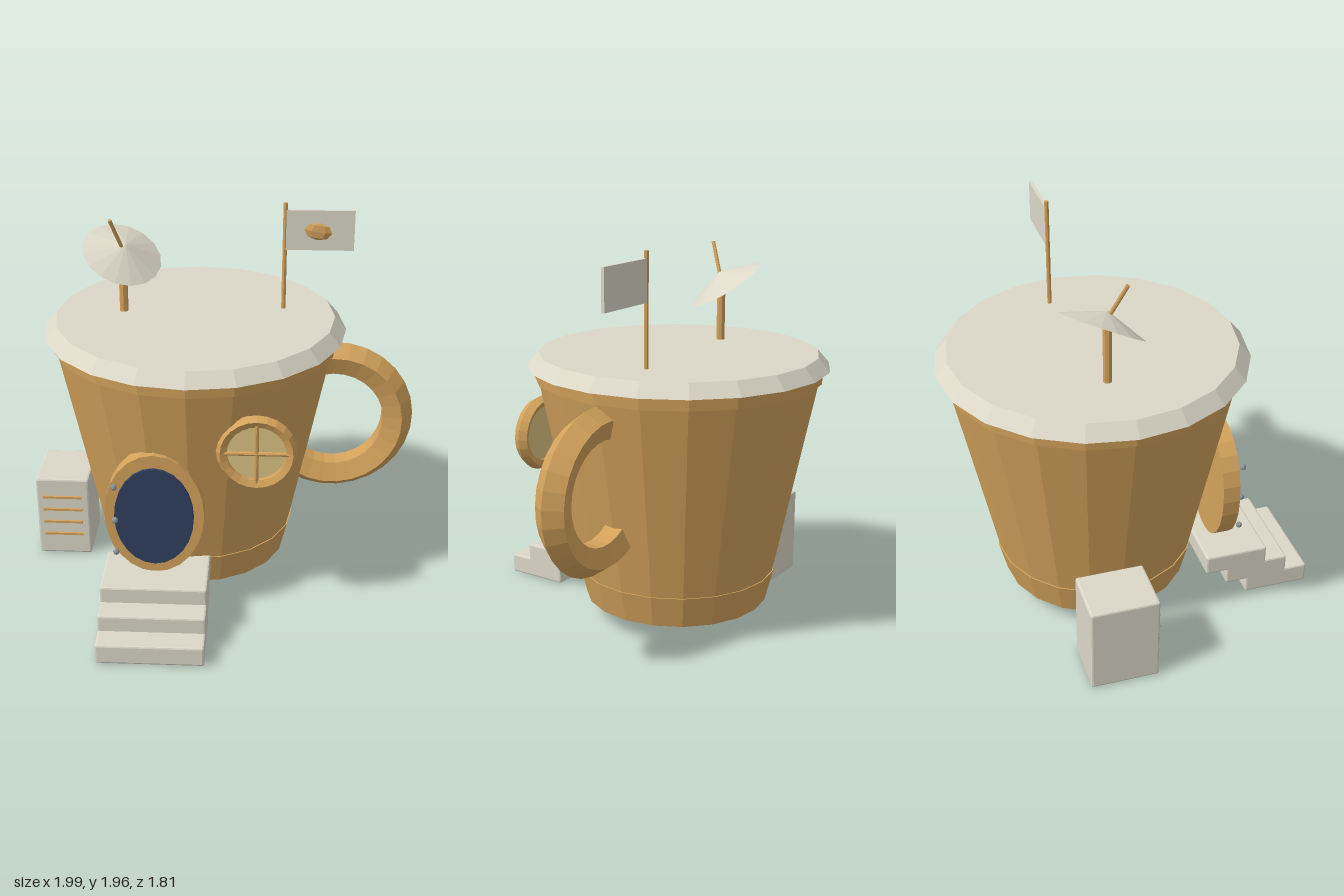
import * as THREE from 'three';
import { RoundedBoxGeometry } from 'three/addons/geometries/RoundedBoxGeometry.js';

const mat = (name, color) => {
  const m = new THREE.MeshStandardMaterial({ color, flatShading: true });
  m.name = name;
  return m;
};

export function createModel() {
  const gold = mat('gold', 0xd4a35c);
  const cream = mat('cream', 0xdcd8c8);
  const navy = mat('navy', 0x303f60);
  const glass = mat('pale yellow glass', 0xdcc484);
  const steel = mat('steel grey', 0x8a9498);

  const root = new THREE.Group();
  root.name = 'cupHouse';
  const CX = -0.135, CZ = -0.14, SIDES = 20;

  const add = (name, geo, material, x = 0, y = 0, z = 0, parent = root) => {
    const m = new THREE.Mesh(geo, material);
    m.name = name;
    m.position.set(x, y, z);
    parent.add(m);
    return m;
  };
  // Tapered round section of the cup between two heights
  const ring = (name, y0, y1, r0, r1, material) =>
    add(name, new THREE.CylinderGeometry(r1, r0, y1 - y0, SIDES), material, CX, (y0 + y1) / 2, CZ);
  // Box given by its minimum and maximum corners
  const block = (name, a, b, material, bevel = 0.01, parent = root) => {
    const s = a.map((v, i) => b[i] - v), c = a.map((v, i) => (v + b[i]) / 2);
    const geo = bevel ? new RoundedBoxGeometry(...s, 1, bevel) : new THREE.BoxGeometry(...s);
    return add(name, geo, material, ...c, parent);
  };
  // Thin round rod between two points
  const rod = (name, a, b, r, material, parent = root) => {
    const p = new THREE.Vector3(...a), d = new THREE.Vector3(...b).sub(p);
    const m = add(name, new THREE.CylinderGeometry(r, r, d.length(), 8), material, 0, 0, 0, parent);
    m.position.copy(p).addScaledVector(d, 0.5);
    m.quaternion.setFromUnitVectors(new THREE.Vector3(0, 1, 0), d.normalize());
    return m;
  };
  // Elliptical plate facing the front
  const plate = (name, rx, ry, z0, z1, material, x, y, parent = root) => {
    const geo = new THREE.CylinderGeometry(1, 1, z1 - z0, 24).rotateX(Math.PI / 2).scale(rx, ry, 1);
    return add(name, geo, material, x, y, (z0 + z1) / 2, parent);
  };
  const group = (name) => {
    const g = new THREE.Group();
    g.name = name;
    root.add(g);
    return g;
  };

  // Cup body, rim band and lid
  ring('cupBase', 0.1, 0.265, 0.475, 0.515, gold);
  ring('cupBody', 0.26, 1.3, 0.508, 0.717, gold);
  ring('rimBand', 1.27, 1.336, 0.727, 0.733, gold);
  ring('lid', 1.333, 1.4, 0.765, 0.707, cream);

  // Handle with a five-sided section, its ends sunk in the wall
  const handleGeo = new THREE.TorusGeometry(0.329, 0.086, 5, 20, Math.PI * 1.4);
  handleGeo.rotateZ(-Math.PI * 0.75);
  add('handle', handleGeo, gold, 0.58, 0.845, CZ);

  // Oval door with frame and hinge knobs
  const door = group('door');
  plate('doorFrame', 0.245, 0.328, 0.42, 0.508, gold, -0.3, 0.6, door);
  plate('doorPanel', 0.195, 0.266, 0.505, 0.525, navy, -0.3, 0.595, door);
  for (const y of [0.4, 0.58, 0.765])
    add('hingeKnob', new THREE.SphereGeometry(0.016, 8, 6), steel, -0.49, y, 0.535, door);

  // Round window with crossed bars
  const win = group('window');
  const frameGeo = new THREE.TorusGeometry(0.166, 0.029, 5, 24).scale(1, 1, 1.4);
  add('windowFrame', frameGeo, gold, 0.195, 0.95, 0.485, win);
  plate('windowPane', 0.165, 0.165, 0.479, 0.488, glass, 0.195, 0.95, win);
  rod('windowBar', [0.195, 0.785, 0.505], [0.195, 1.115, 0.505], 0.011, gold, win);
  rod('windowBar', [0.03, 0.95, 0.505], [0.36, 0.95, 0.505], 0.011, gold, win);

  // Three steps up to the door
  const stairs = group('stairs');
  for (let i = 0; i < 3; i++)
    block('step', [-0.562, i * 0.085, 0.565 - i * 0.112],
      [-0.035, 0.105 + i * 0.085, 0.905 - i * 0.118], cream, 0.01, stairs);

  // Utility box with front slats
  const unit = group('utilityBox');
  block('boxCase', [-1, 0, -0.397], [-0.715, 0.46, -0.057], cream, 0.01, unit);
  for (let i = 0; i < 4; i++)
    block('slat', [-0.965, 0.12 + i * 0.076, -0.065], [-0.755, 0.132 + i * 0.076, -0.045], gold, 0, unit);

  // Tilted dish on a post
  const dish = group('dish');
  rod('dishPost', [-0.5, 1.39, -0.17], [-0.5, 1.71, -0.17], 0.022, gold, dish);
  const normal = new THREE.Vector3(0.38, 1, 0.5).normalize();
  const bowl = add('dishCone', new THREE.ConeGeometry(0.205, 0.075, 16), cream, -0.505, 1.69, -0.195, dish);
  bowl.quaternion.setFromUnitVectors(new THREE.Vector3(0, 1, 0), normal);
  bowl.position.addScaledVector(normal, 0.0375);
  rod('dishAntenna', [-0.5, 1.74, -0.16], [-0.547, 1.9, -0.09], 0.01, gold, dish);

  // Flag on a pole with a small faceted bean
  const flag = group('flag');
  rod('flagPole', [0.31, 1.39, -0.242], [0.31, 1.955, -0.242], 0.011, gold, flag);
  block('flagCloth', [0.315, 1.715, -0.25], [0.655, 1.92, -0.233], cream, 0, flag);
  const bean = add('flagBean', new THREE.SphereGeometry(1, 6, 4), gold, 0.475, 1.815, -0.225, flag);
  bean.scale.set(0.07, 0.045, 0.014);
  bean.rotation.z = -0.15;

  return root;
}
